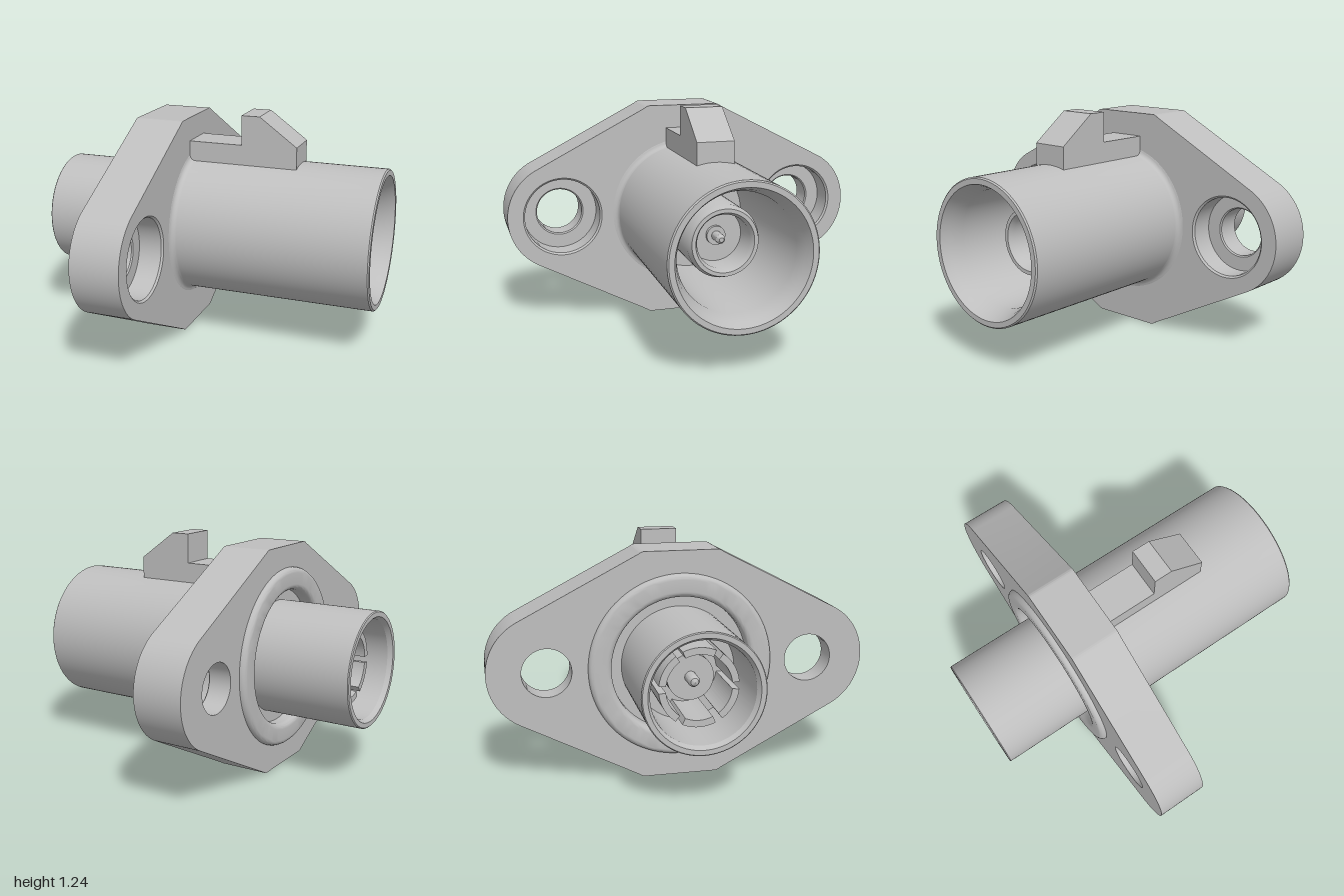
import * as THREE from 'three';
import { toCreasedNormals } from 'three/addons/utils/BufferGeometryUtils.js';

const AXIS_Y = 0.605;
const EAR_Z = 0.695;

export function createModel() {
  const group = new THREE.Group();
  group.name = 'flangedConnector';
  const metal = new THREE.MeshStandardMaterial({ color: 0xbebebe });
  metal.name = 'light grey';

  const add = (name, geometry, y = 0, z = 0) => {
    const mesh = new THREE.Mesh(toCreasedNormals(geometry, 0.5), metal);
    mesh.name = name;
    mesh.position.set(0, y, z);
    group.add(mesh);
    return mesh;
  };

  // Turned part along x; profile points are [radius, x]
  const turned = (name, profile, z = 0, segments = 96) => {
    const points = profile.map(([r, x]) => new THREE.Vector2(r, x));
    const geometry = new THREE.LatheGeometry(points, segments).rotateZ(-Math.PI / 2);
    return add(name, geometry, AXIS_Y, z);
  };

  // Outline in the (z, y) plane pushed from x0 to x1
  const pushed = (shape, x0, x1) => new THREE.ExtrudeGeometry(shape, {
    depth: x1 - x0, bevelEnabled: false, curveSegments: 32,
  }).rotateY(Math.PI / 2).translate(x0, 0, 0);

  // Quarter-round corner points, angles in degrees
  const corner = (r, x, radius, from, to, n = 6) =>
    Array.from({ length: n + 1 }, (_, i) => {
      const a = THREE.MathUtils.degToRad(from + (to - from) * i / n);
      return [r + radius * Math.cos(a), x + radius * Math.sin(a)];
    });

  // Flange plate with two rounded ears
  const rad = THREE.MathUtils.degToRad;
  const flange = new THREE.Shape();
  flange.moveTo(-0.19, 0);
  flange.lineTo(0.19, 0);
  flange.quadraticCurveTo(0.205, 0, 0.22, 0.012);
  flange.absarc(EAR_Z, AXIS_Y, 0.305, rad(-62), rad(62), false);
  flange.lineTo(0.22, 1.195);
  flange.quadraticCurveTo(0.205, 1.207, 0.19, 1.207);
  flange.lineTo(-0.19, 1.207);
  flange.quadraticCurveTo(-0.205, 1.207, -0.22, 1.195);
  flange.absarc(-EAR_Z, AXIS_Y, 0.305, rad(118), rad(242), false);
  flange.lineTo(-0.22, 0.012);
  flange.quadraticCurveTo(-0.205, 0, -0.19, 0);
  for (const [z, r] of [[-EAR_Z, 0.22], [0, 0.41], [EAR_Z, 0.22]]) {
    const hole = new THREE.Path();
    hole.absarc(z, AXIS_Y, r, 0, Math.PI * 2, true);
    flange.holes.push(hole);
  }
  add('flange', pushed(flange, -0.41, -0.145));

  // Counterbored screw holes
  for (const side of [-1, 1]) {
    turned(side > 0 ? 'frontScrewHole' : 'backScrewHole', [
      [0.22, -0.145], [0.21, -0.155], [0.21, -0.28], [0.135, -0.28],
      [0.128, -0.287], [0.128, -0.41], [0.22, -0.41],
    ], side * EAR_Z, 64);
  }

  // Barrel: rear sleeve, groove, sealing rim, front shroud and its bore
  turned('barrel', [
    [0, -0.5], [0.26, -0.5], [0.26, -0.89], [0.275, -0.915], [0.3, -0.915], [0.305, -0.91],
    [0.305, -0.36], [0.365, -0.36],
    ...corner(0.395, -0.41, 0.03, 180, 270),
    ...corner(0.455, -0.41, 0.03, 270, 360),
    [0.412, -0.405], [0.412, -0.146],
    ...corner(0.41, -0.115, 0.03, 270, 180),
    [0.38, 0.908], [0.373, 0.915], [0.345, 0.915],
    [0.325, 0.87], [0.305, 0.8], [0.3, 0], [0, 0],
  ]);

  // Front contact inside the shroud
  turned('frontSocket', [
    [0.19, 0], [0.19, 0.58], [0.18, 0.6], [0.175, 0.62], [0.155, 0.62],
    [0.14, 0.59], [0.14, 0.45], [0.05, 0.45], [0.05, 0.47], [0.025, 0.47],
    [0.025, 0.54], [0.012, 0.56], [0, 0.56],
  ], 0, 64);

  // Rear contact: core, pin and a ring of spring fingers
  turned('rearCore', [
    [0, -0.72], [0.02, -0.71], [0.03, -0.69], [0.03, -0.62],
    [0.12, -0.62], [0.12, -0.5],
  ], 0, 48);
  const count = 6;
  for (let i = 0; i < count; i++) {
    const a0 = (i + 0.09) * Math.PI * 2 / count;
    const a1 = (i + 0.91) * Math.PI * 2 / count;
    const finger = new THREE.Shape();
    finger.absarc(0, 0, 0.2, a0, a1, false);
    finger.absarc(0, 0, 0.165, a1, a0, true);
    add('springFinger', pushed(finger, -0.8, -0.49), AXIS_Y);
  }

  // Latch key on top of the shroud
  const key = new THREE.Shape([
    [-0.15, 0.95], [0.455, 0.95], [0.455, 1.09], [0.25, 1.24],
    [0.15, 1.24], [0.15, 1.08], [-0.15, 1.08],
  ].map(([x, y]) => new THREE.Vector2(x, y)));
  add('latchKey', new THREE.ExtrudeGeometry(key, { depth: 0.2, bevelEnabled: false })
    .translate(0, 0, -0.1));

  return group;
}
